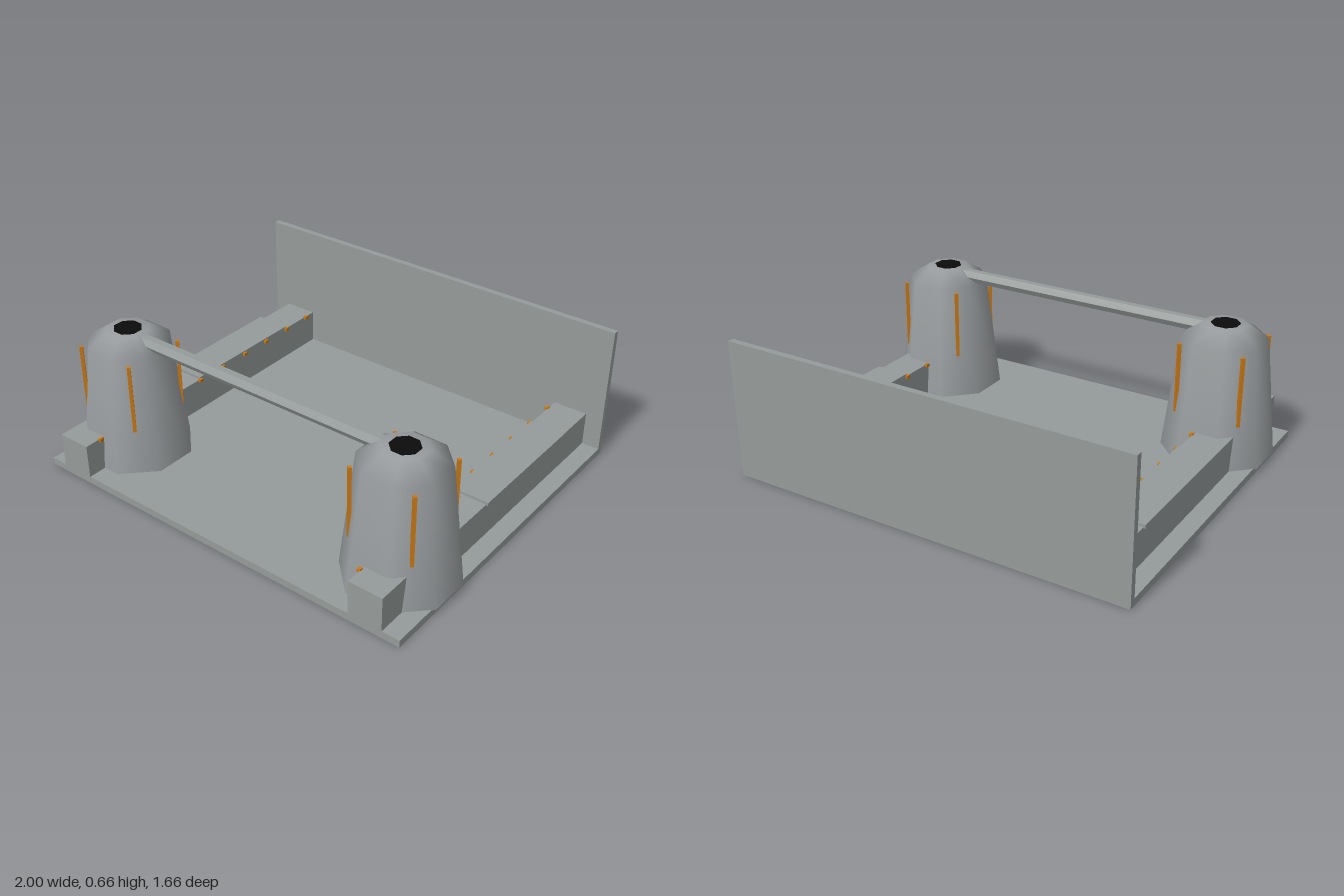
import * as THREE from 'three';

const structureGrey = new THREE.MeshStandardMaterial({ name: 'structure grey', color: 0x959b9a });
const towerGrey = new THREE.MeshStandardMaterial({ name: 'tower grey', color: 0x989c9e });
const lampOrange = new THREE.MeshStandardMaterial({ name: 'lamp orange', color: 0xc87814 });
const ventBlack = new THREE.MeshStandardMaterial({ name: 'vent black', color: 0x0c0c0c });

function addMesh(parent, name, geometry, material, x = 0, y = 0, z = 0) {
  const mesh = new THREE.Mesh(geometry, material);
  mesh.name = name;
  mesh.position.set(x, y, z);
  parent.add(mesh);
  return mesh;
}

// Box given by its minimum and maximum on each axis
function addBox(parent, name, material, [x0, x1], [y0, y1], [z0, z1]) {
  const geometry = new THREE.BoxGeometry(x1 - x0, y1 - y0, z1 - z0);
  return addMesh(parent, name, geometry, material, (x0 + x1) / 2, (y0 + y1) / 2, (z0 + z1) / 2);
}

// Smooth eight-sided tower with flats facing the axes
function createTower() {
  const tower = new THREE.Group();
  tower.name = 'tower';
  const toCorner = 1 / Math.cos(Math.PI / 8);
  const profile = [[0.242, 0.033], [0.182, 0.598], [0.094, 0.66], [0, 0.66]]
    .map(([r, y]) => new THREE.Vector2(r * toCorner, y));
  addMesh(tower, 'towerBody', new THREE.LatheGeometry(profile, 8, Math.PI / 8), towerGrey);

  // Black octagonal vent on the roof
  const vent = new THREE.CylinderGeometry(0.066, 0.066, 0.006, 8, 1, false, Math.PI / 8);
  addMesh(tower, 'roofVent', vent, ventBlack, 0, 0.661, 0);

  // Upright light strips on the four diagonal faces, sinking into the slope
  for (let i = 0; i < 4; i++) {
    const angle = Math.PI / 4 + i * Math.PI / 2;
    const strip = addMesh(tower, 'lightStrip', new THREE.BoxGeometry(0.016, 0.335, 0.016), lampOrange,
      Math.sin(angle) * 0.215, 0.4125, Math.cos(angle) * 0.215);
    strip.rotation.y = angle;
  }
  return tower;
}

// Low wall with a raised cover and a row of lamps on its inner edge
function createSideWall(side) {
  const wall = new THREE.Group();
  wall.name = side > 0 ? 'leftWall' : 'rightWall';
  const span = (a, b) => (side > 0 ? [a, b] : [-b, -a]);
  addBox(wall, 'wallBody', structureGrey, span(0.738, 0.903), [0.02, 0.2], [-0.81, 0.83]);
  addBox(wall, 'wallCover', structureGrey, span(0.738, 0.912), [0.195, 0.212], [-0.57, 0.087]);
  for (let i = 0; i < 10; i++) {
    const z = -0.735 + i * 0.1645;
    addBox(wall, 'edgeLamp', lampOrange, span(0.725, 0.741), [0.19, 0.206], [z - 0.01, z + 0.01]);
  }
  return wall;
}

export function createModel() {
  const model = new THREE.Group();
  model.name = 'gateway';

  addBox(model, 'floor', structureGrey, [-0.988, 0.988], [0, 0.035], [-0.81, 0.83]);
  addBox(model, 'backWall', structureGrey, [-0.988, 0.988], [0, 0.66], [-0.83, -0.8]);

  for (const side of [-1, 1]) {
    model.add(createSideWall(side));
    const tower = createTower();
    tower.position.set(side * 0.758, 0, 0.498);
    model.add(tower);
  }

  // Hexagonal beam between the towers, flat side up
  const beam = new THREE.CylinderGeometry(0.033, 0.033, 1.34, 6).toNonIndexed();
  beam.rotateZ(Math.PI / 2);
  beam.computeVertexNormals();
  addMesh(model, 'crossBeam', beam, structureGrey, 0, 0.627, 0.497);

  return model;
}
